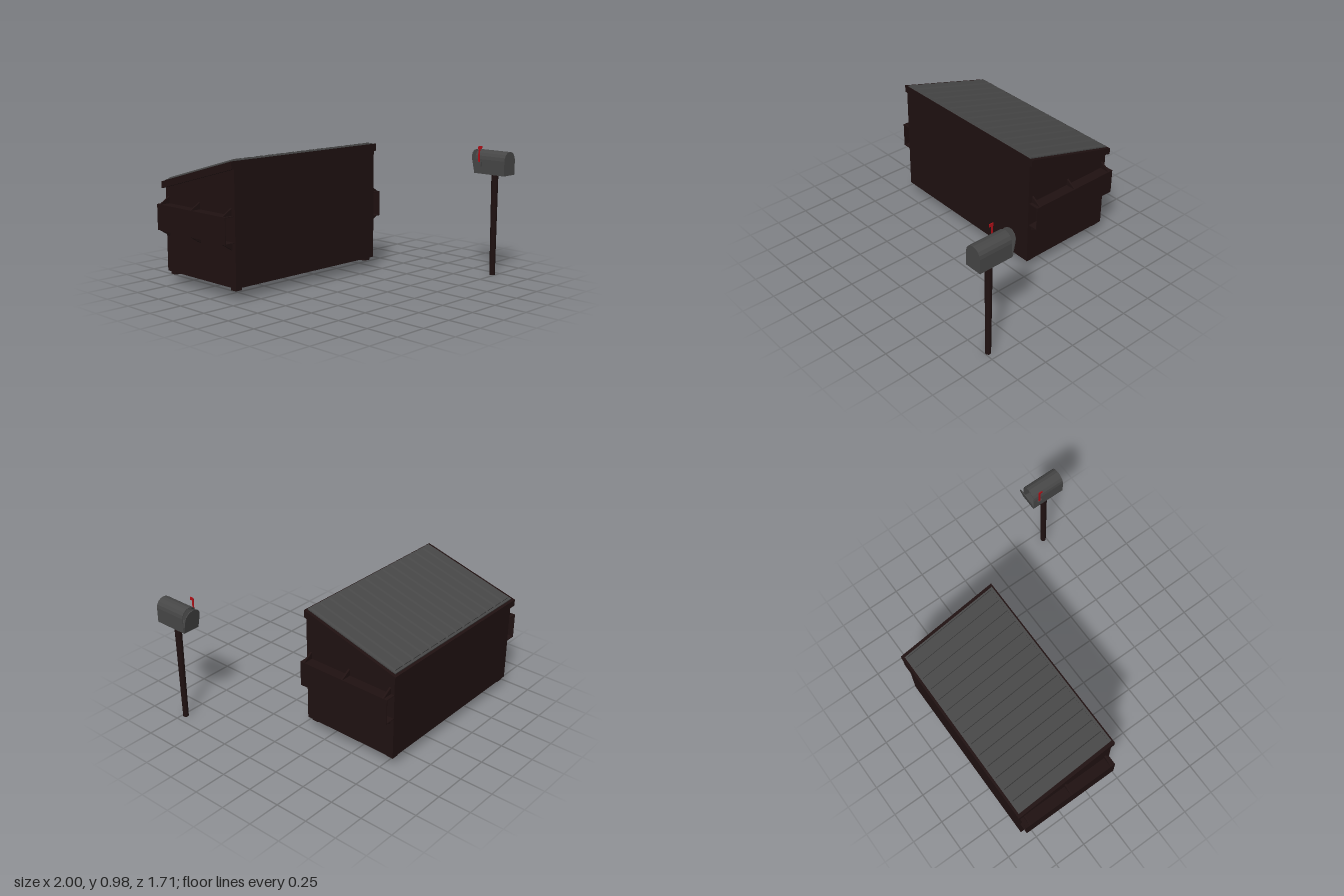
import * as THREE from 'three';

const paint = (color) => new THREE.MeshStandardMaterial({ color, side: THREE.DoubleSide });
const darkSteel = paint(0x1f1111);
const grey = paint(0x474747);
const red = paint(0xb01018);

function add(parent, name, geometry, material, x = 0, y = 0, z = 0) {
  const mesh = new THREE.Mesh(geometry, material);
  mesh.name = name;
  mesh.position.set(x, y, z);
  parent.add(mesh);
  return mesh;
}

const box = (w, h, d) => new THREE.BoxGeometry(w, h, d);
const outline = (points) => new THREE.Shape(points.map(([x, y]) => new THREE.Vector2(x, y)));
const extrude = (shape, depth, curveSegments = 4) =>
  new THREE.ExtrudeGeometry(shape, { depth, bevelEnabled: false, curveSegments });

// Side profile of (z, y) points, swept from x0 to x1
const sweepX = (points, x0, x1) =>
  extrude(outline(points), x1 - x0).rotateY(-Math.PI / 2).translate(x1, 0, 0);

// Arched mailbox outline, straight sides with a semicircular top
function arch(radius, bottom, PathType = THREE.Shape) {
  const path = new PathType();
  path.moveTo(-radius, bottom);
  path.lineTo(radius, bottom);
  path.lineTo(radius, 0);
  path.absarc(0, 0, radius, 0, Math.PI, false);
  path.closePath();
  return path;
}

const SLOPE = 0.278;
const rimY = (z) => 0.97 + SLOPE * (z + 0.06);

function createDumpster() {
  const g = new THREE.Group();
  g.name = 'dumpster';
  const left = 0.46, right = -0.92, front = -0.06, back = -0.83, rimBack = -0.85;

  // Sloped bin and the rim around its top
  add(g, 'body', sweepX([[front, 0.09], [front, rimY(front) - 0.01],
    [back, rimY(back) - 0.01], [back, 0.09]], right, left), darkSteel);
  add(g, 'rim', sweepX([[front, rimY(front) - 0.055], [front, rimY(front)],
    [rimBack, rimY(rimBack)], [rimBack, rimY(rimBack) - 0.05]], -0.943, 0.483), darkSteel);

  // Corrugated lid lying on the slope
  const lid = new THREE.Group();
  lid.name = 'lid';
  lid.position.set(-0.23, rimY(-0.45), -0.45);
  lid.rotation.x = -Math.atan(SLOPE);
  g.add(lid);
  add(lid, 'lidSheet', box(1.375, 0.012, 0.79), grey, 0, 0.002, 0);
  const pitch = 0.0975, count = 14, length = 0.755;
  const ridge = extrude(outline([[-0.043, 0], [0.043, 0], [0.034, 0.01], [-0.034, 0.01]]), length);
  for (let i = 0; i < count; i++) {
    add(lid, 'lidRidge', ridge, grey, (i - (count - 1) / 2) * pitch, 0.007, -length / 2);
  }

  // Open-ended fork pockets with gussets on both sides
  for (const side of [1, -1]) {
    const pocket = new THREE.Group();
    pocket.name = side > 0 ? 'leftForkPocket' : 'rightForkPocket';
    pocket.position.x = side > 0 ? left : right;
    g.add(pocket);
    const depth = 0.76, zMid = -0.45, sx = (x) => side * x;
    add(pocket, 'pocketOuterPlate', box(0.006, 0.19, depth), darkSteel, sx(0.077), 0.5, zMid);
    for (const up of [1, -1]) {
      add(pocket, 'pocketPlate', box(0.08, 0.006, depth), darkSteel, sx(0.04), 0.5 + up * 0.092, zMid);
      const gusset = extrude(outline([[0, up * 0.095], [sx(0.08), up * 0.095], [0, up * 0.145]]), 0.014);
      for (const z of [-0.1, -0.443, -0.795]) {
        add(pocket, 'pocketGusset', gusset, darkSteel, 0, 0.5, z - 0.007);
      }
    }
  }

  // Feet
  for (const x of [-0.877, 0.413]) {
    for (const z of [-0.109, -0.788]) add(g, 'foot', box(0.055, 0.028, 0.055), darkSteel, x, 0.08, z);
  }
  return g;
}

function createMailbox() {
  const g = new THREE.Group();
  g.name = 'mailbox';
  const x = 0.934, radius = 0.066, spring = 0.879, bottom = -0.109, open = 0.592, end = 0.855;

  add(g, 'post', new THREE.CylinderGeometry(0.026, 0.021, 0.775, 12), darkSteel, x, 0.3875, 0.727);

  // Hollow arched shell, closed at the far end
  const shell = arch(radius, bottom);
  shell.holes.push(arch(radius - 0.005, bottom + 0.005, THREE.Path));
  add(g, 'mailboxShell', extrude(shell, end - open), grey, x, spring, open);
  add(g, 'mailboxEnd', extrude(arch(radius - 0.004, bottom + 0.004), 0.005), grey, x, spring, end - 0.005);

  // Door hinged at the bottom and standing ajar
  const hinge = new THREE.Group();
  hinge.name = 'doorHinge';
  hinge.position.set(x, spring + bottom, open);
  hinge.rotation.x = -0.22;
  g.add(hinge);
  add(hinge, 'mailboxDoor', extrude(arch(radius, bottom), 0.006), grey, 0, -bottom, -0.006);

  // Raised signal flag
  add(g, 'flagPivot', box(0.016, 0.034, 0.034), grey, 0.861, 0.842, 0.638);
  add(g, 'flagStick', box(0.005, 0.145, 0.014), red, 0.859, 0.903, 0.634);
  add(g, 'flag', box(0.005, 0.022, 0.033), red, 0.859, 0.966, 0.642);
  return g;
}

export function createModel() {
  const model = new THREE.Group();
  model.name = 'dumpsterAndMailbox';
  model.add(createDumpster(), createMailbox());
  return model;
}
